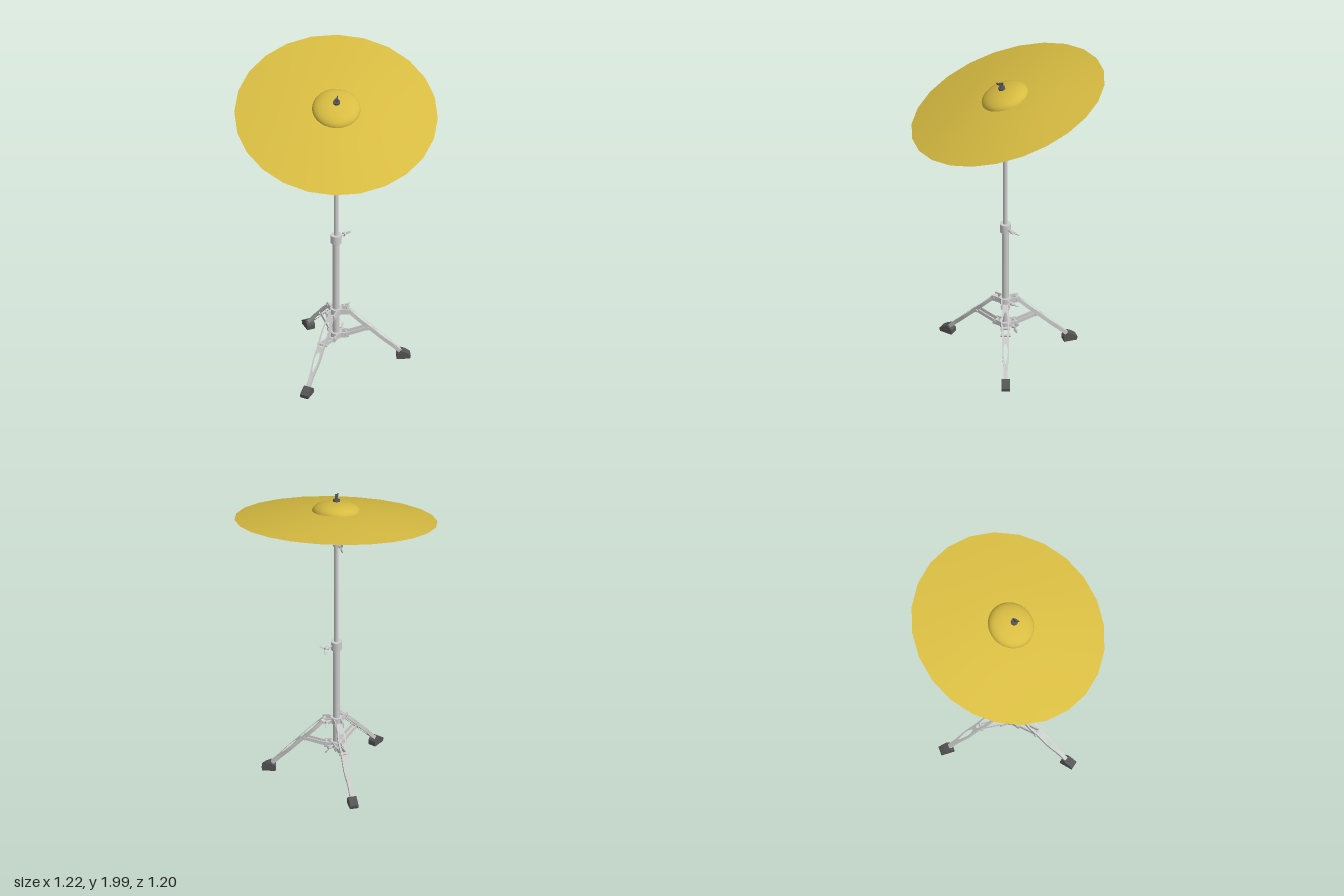
import * as THREE from 'three';

const metal = new THREE.MeshStandardMaterial({ color: 0xcccccc });
const dark = new THREE.MeshStandardMaterial({ color: 0x555555 });
const brass = new THREE.MeshStandardMaterial({ color: 0xd8bc42, side: THREE.DoubleSide });
const V = (x, y, z) => new THREE.Vector3(x, y, z);
const UP = V(0, 1, 0);
const PX = -0.01, PZ = 0.013; // stand axis

function add(parent, name, geometry, material, x = 0, y = 0, z = 0) {
  const m = new THREE.Mesh(geometry, material);
  m.name = name;
  m.position.set(x, y, z);
  parent.add(m);
  return m;
}

// Upright cylinder between two heights
function tube(parent, name, r, y0, y1, mat = metal, seg = 20) {
  return add(parent, name, new THREE.CylinderGeometry(r, r, y1 - y0, seg), mat, 0, (y0 + y1) / 2, 0);
}

// Flat bar between two points of the local xy plane
function bar(parent, name, a, b, height, depth, z = 0) {
  const m = add(parent, name, new THREE.BoxGeometry(Math.hypot(b[0] - a[0], b[1] - a[1]), height, depth),
    metal, (a[0] + b[0]) / 2, (a[1] + b[1]) / 2, z);
  m.rotation.z = Math.atan2(b[1] - a[1], b[0] - a[0]);
}

function pivot(parent, x, y, length) {
  add(parent, 'pivotPin', new THREE.CylinderGeometry(0.009, 0.009, length, 12), metal, x, y, 0).rotation.x = Math.PI / 2;
}

// Wing nut whose bolt points along dir, wings turned by roll
function wingNut(parent, pos, dir, roll = 0, mat = metal, scale = 1) {
  const g = new THREE.Group();
  g.name = 'wingNut';
  tube(g, 'bolt', 0.006, -0.01, 0.03, mat, 10);
  add(g, 'nutBody', new THREE.CylinderGeometry(0.008, 0.012, 0.022, 12), mat, 0, 0.03, 0);
  for (const s of [-1, 1]) {
    const wing = add(g, 'wing', new THREE.SphereGeometry(0.013, 12, 8), mat, s * 0.018, 0.045, 0);
    wing.scale.set(0.85, 1.4, 0.35);
    wing.rotation.z = -s * 0.7;
  }
  g.position.copy(pos);
  g.quaternion.setFromUnitVectors(UP, dir.clone().normalize());
  g.rotateY(roll);
  g.scale.setScalar(scale);
  parent.add(g);
}

// Closed symmetric outline from [s, halfWidth] pairs
function outline(Type, pts) {
  const side = new THREE.SplineCurve(pts.map(p => new THREE.Vector2(...p))).getPoints(20);
  const other = side.map(p => new THREE.Vector2(p.x, -p.y)).reverse();
  return new Type([...other, ...side]);
}

// One folding leg, pointing along local +x
function makeLeg(angle) {
  const leg = new THREE.Group();
  leg.name = 'leg';
  const top = V(0.07, 0.375, 0), end = V(0.405, 0.035, 0);
  const d = end.clone().sub(top), L = d.length();
  d.normalize();
  // bowed strip with two long openings
  const shape = outline(THREE.Shape, [[0, 0.016], [0.1, 0.026], [0.2, 0.022], [0.3, 0.022], [0.39, 0.013], [L, 0.013]]);
  shape.holes.push(outline(THREE.Path, [[0.045, 0.005], [0.1, 0.017], [0.19, 0.01], [0.205, 0.003]]));
  shape.holes.push(outline(THREE.Path, [[0.24, 0.004], [0.27, 0.013], [0.31, 0.012], [0.365, 0.003]]));
  const geo = new THREE.ExtrudeGeometry(shape, { depth: 0.022, bevelEnabled: false });
  geo.translate(0, 0, -0.011);
  geo.applyMatrix4(new THREE.Matrix4().makeBasis(d, V(0, 0, 1), V(d.y, -d.x, 0)).setPosition(top));
  add(leg, 'legStrip', geo, metal);
  // brackets, brace and pins
  for (const z of [-0.022, 0.022]) {
    bar(leg, 'upperBracket', [0.02, 0.372], [0.085, 0.372], 0.036, 0.007, z);
    bar(leg, 'lowerBracket', [0.02, 0.202], [0.075, 0.202], 0.034, 0.007, z);
    bar(leg, 'brace', [0.055, 0.2], [0.195, 0.238], 0.022, 0.007, z * 0.72);
  }
  pivot(leg, 0.072, 0.372, 0.058);
  pivot(leg, 0.062, 0.202, 0.058);
  pivot(leg, 0.192, 0.238, 0.06);
  // rubber foot
  const foot = new THREE.Shape([[0.37, 0], [0.452, 0], [0.456, 0.022], [0.43, 0.042], [0.4, 0.056], [0.37, 0.03]]
    .map(p => new THREE.Vector2(...p)));
  add(leg, 'foot', new THREE.ExtrudeGeometry(foot, { depth: 0.052, bevelEnabled: false }), dark, 0, 0, -0.026);
  leg.rotation.y = -THREE.MathUtils.degToRad(angle);
  return leg;
}

function makeCymbal() {
  const g = new THREE.Group();
  g.name = 'cymbal';
  const R = 0.622, rb = 0.148, h = 0.06, start = THREE.MathUtils.degToRad(4.5);
  const bow = [], bell = [];
  for (let i = 0; i <= 10; i++) {
    const t = i / 10;
    bow.push(new THREE.Vector2(R + (rb - R) * t, h * (1 - Math.pow(1 - t, 1.4))));
    const a = t * Math.PI / 2;
    bell.push(new THREE.Vector2(rb * Math.cos(a * 0.92 + 0.08 * a * t), h + 0.06 * Math.sin(a)));
  }
  add(g, 'bow', new THREE.LatheGeometry(bow, 24, start), brass);
  add(g, 'bell', new THREE.LatheGeometry(bell, 48, start), brass);
  // spindle, felt washers and top nut
  tube(g, 'spindle', 0.007, 0.06, 0.165, dark, 12);
  tube(g, 'lowerFelt', 0.022, 0.1, 0.117, dark);
  tube(g, 'upperFelt', 0.021, 0.12, 0.134, dark);
  wingNut(g, V(0, 0.125, 0), UP, 0.6, dark, 0.75);
  g.quaternion.setFromUnitVectors(UP, V(-0.18, 1, 0.265).normalize());
  g.position.set(0, 1.805, 0);
  return g;
}

export function createModel() {
  const model = new THREE.Group();
  model.name = 'cymbalOnStand';
  const stand = new THREE.Group();
  stand.name = 'stand';
  stand.position.set(PX, 0, PZ);
  model.add(stand);

  // telescoping tubes and clamps
  tube(stand, 'lowerTube', 0.021, 0.185, 0.9);
  tube(stand, 'middleTube', 0.0135, 0.9, 1.64);
  tube(stand, 'upperRod', 0.009, 1.64, 1.86);
  tube(stand, 'lowerClamp', 0.034, 0.875, 0.932);
  tube(stand, 'upperClamp', 0.022, 1.615, 1.652);
  tube(stand, 'upperHub', 0.036, 0.353, 0.392);
  tube(stand, 'lowerHub', 0.036, 0.184, 0.22);
  wingNut(stand, V(0.04, 0.904, 0), V(1, 0, -0.15), Math.PI / 2 - 0.4, metal, 1.1);
  wingNut(stand, V(0, 1.634, -0.022), V(0, 0, -1), Math.PI / 2);
  wingNut(stand, V(0.04, 0.375, 0), V(1, 0, -0.2), Math.PI / 2 - 0.4);
  wingNut(stand, V(0.035, 0.2, -0.013), V(1, 0, -0.35), 0);

  // three legs
  for (const angle of [155.3, 33.6, -74.4]) stand.add(makeLeg(angle));

  // tilting joint
  const joint = add(stand, 'tilter', new THREE.CylinderGeometry(0.028, 0.028, 0.032, 24), metal, 0, 1.86, 0);
  joint.rotation.z = Math.PI / 2;
  const cap = add(stand, 'tilterCap', new THREE.CylinderGeometry(0.014, 0.014, 0.042, 16), metal, 0, 1.86, 0);
  cap.rotation.z = Math.PI / 2;
  wingNut(stand, V(0, 1.85, -0.018), V(0, -0.3, -1), Math.PI / 2, metal, 0.8);

  model.add(makeCymbal());
  return model;
}
